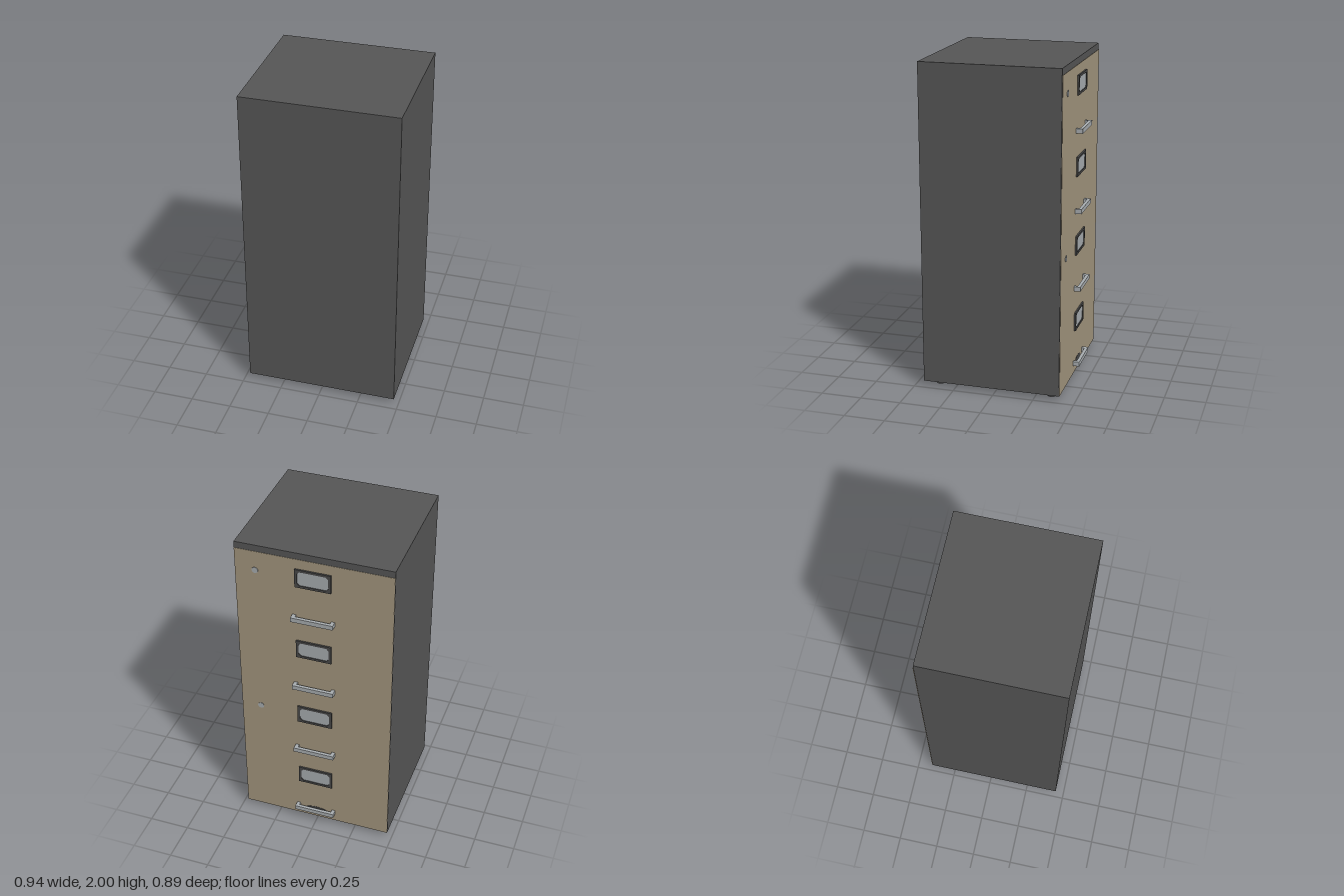
import * as THREE from 'three';

const mat = (name, color) => Object.assign(new THREE.MeshStandardMaterial({ color }), { name });

export function createModel() {
  const group = new THREE.Group();
  const steel = mat('dark grey steel', 0x565656);
  const tan = mat('tan paint', 0xa3967e);
  const silver = mat('silver', 0xa8adb0);
  const dark = mat('frame grey', 0x484848);

  const add = (name, geometry, material, x, y, z, parent = group) => {
    const mesh = new THREE.Mesh(geometry, material);
    mesh.name = name;
    mesh.position.set(x, y, z);
    parent.add(mesh);
    return mesh;
  };
  const rect = (path, w, h) => path.moveTo(-w / 2, -h / 2).lineTo(w / 2, -h / 2)
    .lineTo(w / 2, h / 2).lineTo(-w / 2, h / 2).closePath();
  const chamfered = (path, w, h, c) => path.moveTo(-w / 2 + c, -h / 2).lineTo(w / 2 - c, -h / 2)
    .lineTo(w / 2, -h / 2 + c).lineTo(w / 2, h / 2 - c).lineTo(w / 2 - c, h / 2)
    .lineTo(-w / 2 + c, h / 2).lineTo(-w / 2, h / 2 - c).lineTo(-w / 2, -h / 2 + c).closePath();
  const extrude = (shape, depth) =>
    new THREE.ExtrudeGeometry(shape, { depth, bevelEnabled: false });

  // Cabinet body; the drawers face -z
  const face = -0.405;
  add('cabinetBody', new THREE.BoxGeometry(0.94, 1.97, 0.85), steel, 0, 1.015, 0.022);

  // Label frame with a chamfered window, and the card inside it
  const frame = rect(new THREE.Shape(), 0.215, 0.118);
  frame.holes.push(chamfered(new THREE.Path(), 0.185, 0.09, 0.015));
  const frameGeo = extrude(frame, 0.012);
  const cardGeo = new THREE.BoxGeometry(0.19, 0.095, 0.006);

  // U-shaped pull, drawn in plan and extruded upwards
  const pull = new THREE.Shape();
  [[-0.127, 0], [-0.127, -0.042], [0.127, -0.042], [0.127, 0],
    [0.105, 0], [0.105, -0.022], [-0.105, -0.022], [-0.105, 0]]
    .forEach(([x, z], i) => (i ? pull.lineTo(x, -z) : pull.moveTo(x, -z)));
  const pullGeo = extrude(pull, 0.028).rotateX(-Math.PI / 2);

  const lockGeo = new THREE.CylinderGeometry(0.019, 0.019, 0.004, 20).rotateX(Math.PI / 2);

  // Four drawers, bottom to top
  for (let i = 0; i < 4; i++) {
    const drawer = new THREE.Group();
    drawer.name = `drawer${i + 1}`;
    group.add(drawer);
    const y = 0.1 + i * 0.491;
    add('drawerFront', new THREE.BoxGeometry(0.938, 0.4825, 0.002), tan,
      0, 0.031 + 0.4825 * (i + 0.5), face + 0.001 - 0.002, drawer);
    add('handle', pullGeo, silver, 0.002, y - 0.014, face, drawer);
    add('labelFrame', frameGeo, dark, 0.002, y + 0.268, face - 0.012, drawer);
    add('labelCard', cardGeo, silver, 0.002, y + 0.268, face - 0.004, drawer);
    if (i % 2) add('lock', lockGeo, silver, 0.348, y + 0.265, face - 0.003, drawer);
  }

  // Dark oval plate behind the lowest handle
  const plate = add('lowerPlate', new THREE.CylinderGeometry(0.07, 0.07, 0.003, 24)
    .rotateX(Math.PI / 2), dark, 0, 0.088, face - 0.002);
  plate.scale.y = 0.3;

  // Round feet
  const footGeo = new THREE.CylinderGeometry(0.028, 0.028, 0.032, 24);
  for (const x of [-0.422, 0.396])
    for (const z of [-0.342, 0.362]) add('foot', footGeo, steel, x, 0.016, z);

  return group;
}
